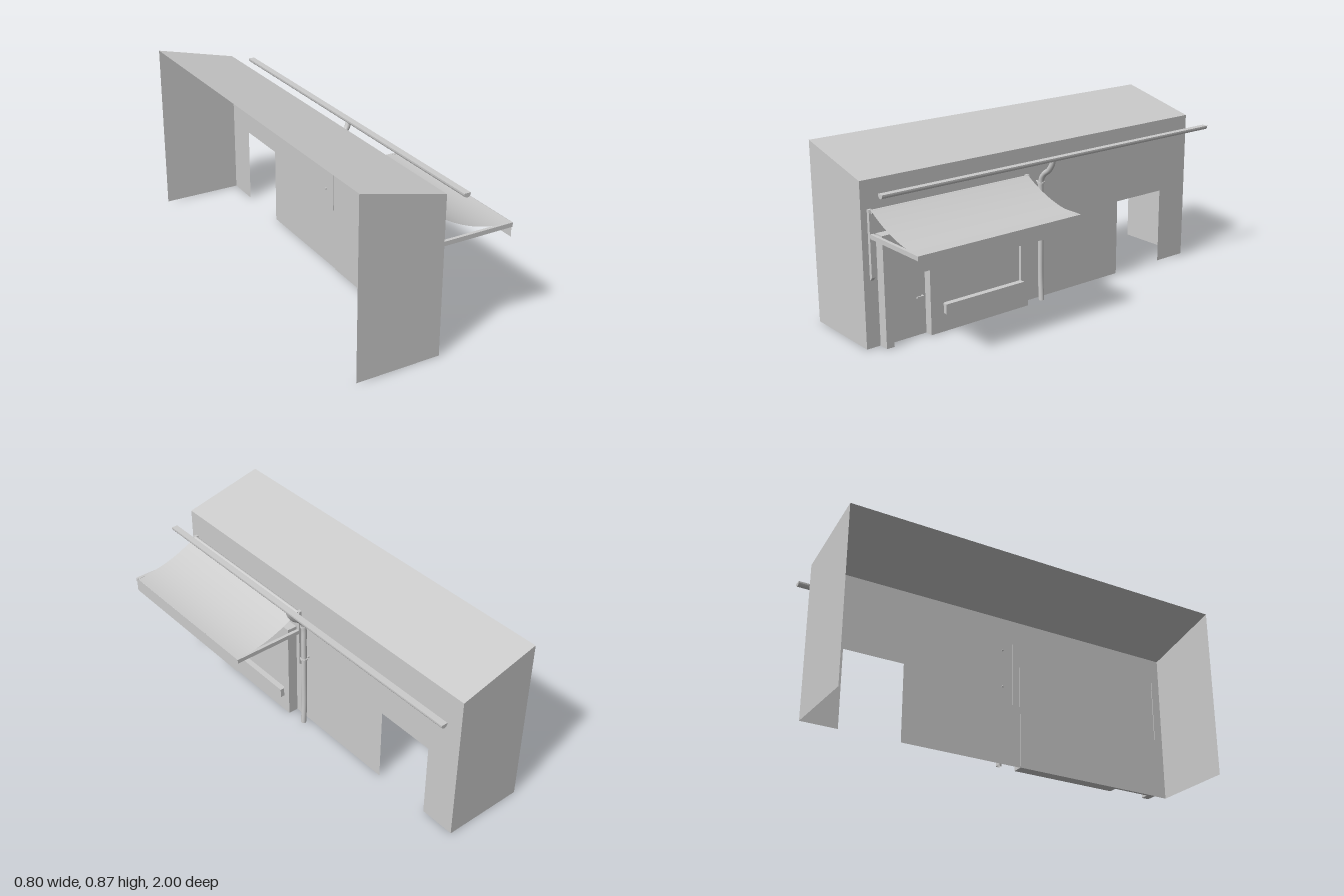
import * as THREE from 'three';

const mat = new THREE.MeshStandardMaterial({ color: 0xcccccc, side: THREE.DoubleSide });

function add(parent, name, geometry, x = 0, y = 0, z = 0) {
  const mesh = new THREE.Mesh(geometry, mat);
  mesh.name = name;
  mesh.position.set(x, y, z);
  parent.add(mesh);
  return mesh;
}

// Box given by its limits on each axis
function box(parent, name, [x0, x1], [y0, y1], [z0, z1]) {
  return add(parent, name, new THREE.BoxGeometry(x1 - x0, y1 - y0, z1 - z0),
    (x0 + x1) / 2, (y0 + y1) / 2, (z0 + z1) / 2);
}

const shape = (pts) => new THREE.Shape(pts.map(([x, y]) => new THREE.Vector2(x, y)));
// Shape drawn as (z, y), to be turned so that it faces +x
const sideShape = (pts) => shape(pts.map(([z, y]) => [-z, y]));

export function createModel() {
  const model = new THREE.Group();
  model.name = 'shopBuilding';
  const BACK = -0.4, FRONT = 0.016, Z0 = -0.985, Z1 = 1;
  const HIGH = 0.87, LOW = 0.77;

  // Building shell, open at the back and below
  const shell = new THREE.Group();
  shell.name = 'buildingShell';
  model.add(shell);
  const facade = sideShape([[Z1, 0], [-0.5, 0], [-0.5, 0.39], [-0.805, 0.39],
    [-0.805, 0], [Z0, 0], [Z0, LOW], [Z1, LOW]]);
  add(shell, 'facadeWall', new THREE.ShapeGeometry(facade).rotateY(Math.PI / 2), FRONT);
  const gable = shape([[BACK, 0], [FRONT, 0], [FRONT, LOW], [BACK, HIGH]]);
  add(shell, 'endWallNear', new THREE.ShapeGeometry(gable), 0, 0, Z1);
  const far = new THREE.ShapeGeometry(shape([[-FRONT, 0], [-BACK, 0], [-BACK, HIGH], [-FRONT, LOW]]));
  add(shell, 'endWallFar', far.rotateY(Math.PI), 0, 0, Z0);
  const roof = new THREE.PlaneGeometry(Math.hypot(FRONT - BACK, HIGH - LOW), Z1 - Z0);
  roof.rotateX(-Math.PI / 2).rotateZ(-Math.atan2(HIGH - LOW, FRONT - BACK));
  add(shell, 'roof', roof, (BACK + FRONT) / 2, (HIGH + LOW) / 2, (Z0 + Z1) / 2);

  // Shop front with a door niche and a window opening
  const shop = new THREE.Group();
  shop.name = 'shopFront';
  model.add(shop);
  const front = sideShape([[0.93, 0], [0.89, 0], [0.89, 0.385], [0.692, 0.385],
    [0.692, 0], [0.13, 0], [0.13, 0.525], [0.93, 0.525]]);
  front.holes.push(sideShape([[0.62, 0.12], [0.62, 0.412], [0.172, 0.412], [0.172, 0.12]]));
  const frame = new THREE.ExtrudeGeometry(front, { depth: 0.056, bevelEnabled: false });
  add(shop, 'shopFrame', frame.rotateY(Math.PI / 2), 0.012);
  box(shop, 'door', [0.012, 0.026], [0, 0.386], [0.69, 0.892]);
  box(shop, 'windowPane', [0.012, 0.053], [0.115, 0.415], [0.17, 0.622]);
  box(shop, 'windowSill', [0.06, 0.09], [0.09, 0.138], [0.17, 0.622]);
  box(shop, 'doorHandle', [0.034, 0.041], [0.181, 0.189], [0.707, 0.745]);
  box(shop, 'doorHandleStem', [0.024, 0.036], [0.181, 0.189], [0.707, 0.715]);

  // Awning: mirrored wall brackets and arms
  const awning = new THREE.Group();
  awning.name = 'awning';
  model.add(awning);
  const MID = 0.528;
  const profile = shape([[0.012, 0.31], [0.033, 0.332], [0.033, 0.625], [0.029, 0.64], [0.012, 0.64]]);
  for (const side of [-1, 1]) {
    const bracket = new THREE.ExtrudeGeometry(profile, { depth: 0.018, bevelEnabled: false });
    add(awning, 'awningBracket', bracket, 0, 0, MID + side * 0.432 - 0.009);
    const z = MID + side * 0.432;
    box(awning, 'awningArm', [0.033, 0.397], [0.511, 0.532], [z - 0.008, z + 0.008]);
  }
  const roller = new THREE.CylinderGeometry(0.011, 0.011, 0.86, 16).rotateX(Math.PI / 2);
  add(awning, 'awningRoller', roller, 0.028, 0.627, MID);

  // Sagging cloth, swept along z
  const cloth = new THREE.PlaneGeometry(1, 0.862, 20, 1).rotateX(-Math.PI / 2);
  const p = cloth.attributes.position;
  for (let i = 0; i < p.count; i++) {
    const t = p.getX(i) + 0.5;
    p.setXY(i, 0.03 + 0.366 * t, 0.638 - 0.107 * t - 0.12 * t * (1 - t));
  }
  cloth.computeVertexNormals();
  add(awning, 'awningCloth', cloth, 0, 0, MID);
  const valance = new THREE.PlaneGeometry(0.866, 0.072).rotateY(Math.PI / 2);
  add(awning, 'awningValance', valance, 0.397, 0.496, MID);

  // Half-round gutter along the eaves
  const drain = new THREE.Group();
  drain.name = 'drainage';
  model.add(drain);
  const half = new THREE.Shape();
  half.moveTo(-0.016, 0);
  half.lineTo(-0.016, -0.006);
  half.absellipse(0, -0.006, 0.016, 0.014, Math.PI, Math.PI * 2, false);
  half.lineTo(0.016, 0);
  const gutter = new THREE.ExtrudeGeometry(half, { depth: 1.975, bevelEnabled: false, curveSegments: 10 });
  add(drain, 'gutter', gutter, 0.139, 0.735, -1);

  // Downpipe with an S bend at the top and a slight kick at the foot
  const path = new THREE.CatmullRomCurve3([
    [0.139, 0.725], [0.128, 0.695], [0.105, 0.665], [0.077, 0.645], [0.055, 0.618],
    [0.047, 0.585], [0.047, 0.5], [0.047, 0.3], [0.047, 0.12], [0.053, 0],
  ].map(([x, y]) => new THREE.Vector3(x, y, 0.033)));
  add(drain, 'downpipe', new THREE.TubeGeometry(path, 60, 0.0135, 14));
  for (const y of [0.595, 0.4]) {
    const clamp = new THREE.CylinderGeometry(0.018, 0.018, 0.009, 16);
    add(drain, 'pipeClamp', clamp, 0.048, y, 0.033);
    const pin = new THREE.CylinderGeometry(0.005, 0.005, 0.04, 8).rotateZ(Math.PI / 2);
    add(drain, 'pipeClampPin', pin, 0.028, y, 0.033);
  }
  return model;
}
